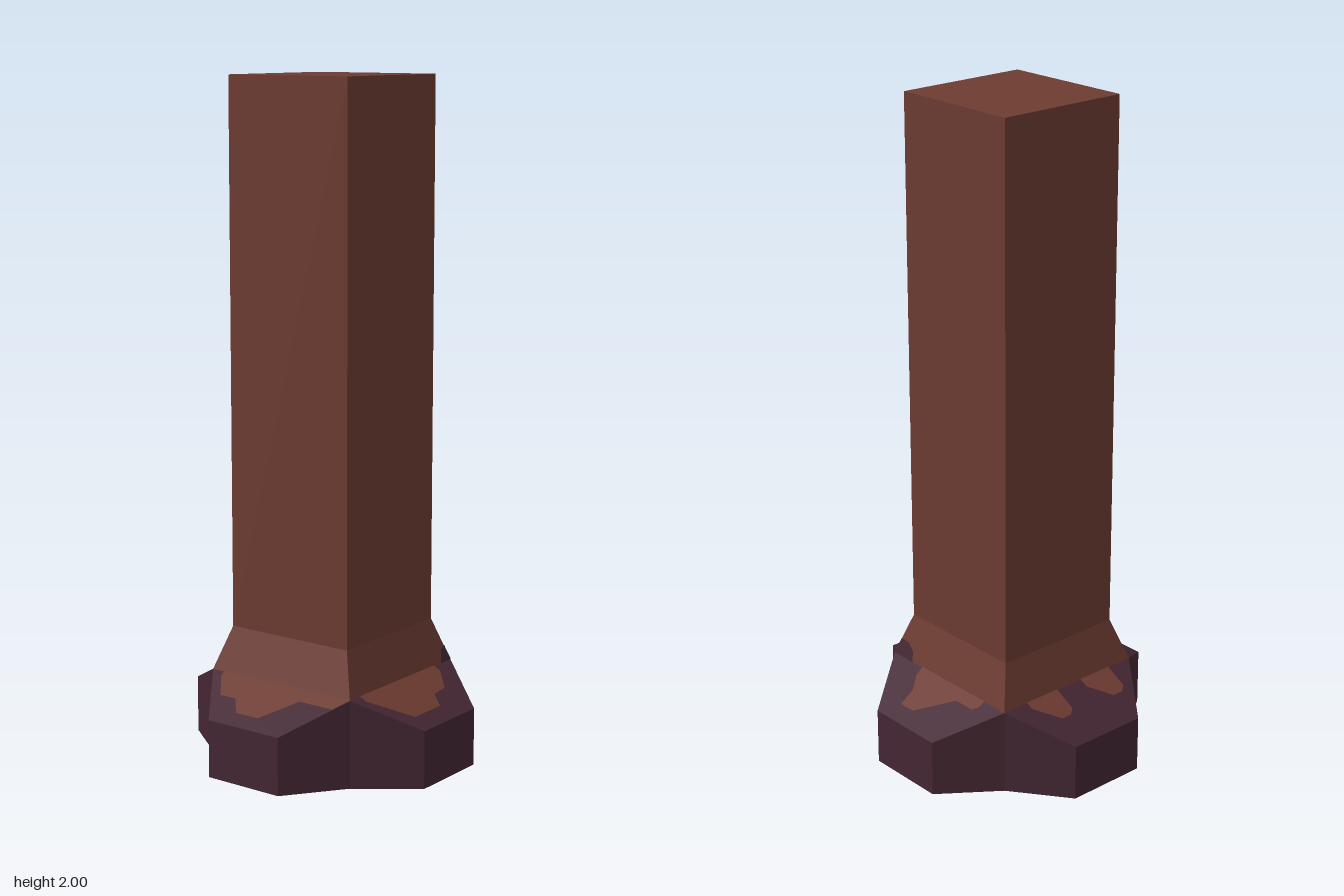
import * as THREE from 'three';

const POST = 0.21, RIM = 0.253, OUT = 0.423, TIP = 0.127;
const Y_LOBE = 0.172, Y_RIM = 0.26, Y_POST = 0.39, TOP = 2;
const LIFT = 0.002;

export function createModel() {
  const brown = new THREE.MeshStandardMaterial({ color: 0x6c3b31, flatShading: true });
  const purple = new THREE.MeshStandardMaterial({ color: 0x432632, flatShading: true });
  brown.name = 'brown wood';
  purple.name = 'dark purple';

  const model = new THREE.Group();
  model.name = 'post';
  const add = (parent, name, geometry, material) => {
    const mesh = new THREE.Mesh(geometry, material);
    mesh.name = name;
    parent.add(mesh);
    return mesh;
  };

  // Square shaft and the flared collar below it
  const shaft = new THREE.BoxGeometry(POST * 2, TOP - Y_POST, POST * 2);
  shaft.translate(0, (TOP + Y_POST) / 2, 0);
  add(model, 'shaft', shaft, brown);
  const collar = new THREE.CylinderGeometry(POST * Math.SQRT2, RIM * Math.SQRT2, Y_POST - Y_RIM, 4, 1, true);
  collar.rotateY(Math.PI / 4).translate(0, (Y_POST + Y_RIM) / 2, 0);
  add(model, 'collar', collar, brown);

  // One lobe of the foot: sloping top, outer wall and two side walls
  const quads = [
    [[-RIM, Y_RIM, RIM], [-TIP, Y_LOBE, OUT], [TIP, Y_LOBE, OUT], [RIM, Y_RIM, RIM]],
    [[-TIP, Y_LOBE, OUT], [-TIP, 0, OUT], [TIP, 0, OUT], [TIP, Y_LOBE, OUT]],
    [[TIP, Y_LOBE, OUT], [TIP, 0, OUT], [RIM, 0, RIM], [RIM, Y_RIM, RIM]],
    [[-RIM, Y_RIM, RIM], [-RIM, 0, RIM], [-TIP, 0, OUT], [-TIP, Y_LOBE, OUT]],
  ];
  const lobe = new THREE.BufferGeometry();
  const corners = quads.flatMap(([a, b, c, d]) => [a, b, c, a, c, d]).flat();
  lobe.setAttribute('position', new THREE.Float32BufferAttribute(corners, 3));
  lobe.computeVertexNormals();

  // Thin patch on a sloping face: outline points are (across, level)
  const patch = (points, place) => {
    const shape = new THREE.Shape(points.map(([u, v]) => new THREE.Vector2(u, v)));
    const geometry = new THREE.ShapeGeometry(shape);
    const pos = geometry.attributes.position;
    for (let i = 0; i < pos.count; i++) pos.setXYZ(i, ...place(pos.getX(i), pos.getY(i)));
    geometry.computeVertexNormals();
    return geometry;
  };
  // On the lobe top, level is the distance from the axis (negated to face up)
  const onLobe = (u, v) =>
    [u, Y_RIM - (-v - RIM) * (Y_RIM - Y_LOBE) / (OUT - RIM) + LIFT, -v];
  // On the collar, level is the height
  const onCollar = (u, y) =>
    [u, y, RIM - (y - Y_RIM) * (RIM - POST) / (Y_POST - Y_RIM) + LIFT];

  const sides = [
    { name: 'front', turn: 0,
      worn: [[[-0.205, 0.253], [-0.205, 0.275], [-0.105, 0.375], [0.02, 0.375], [0.05, 0.335],
        [0.11, 0.33], [0.165, 0.275], [0.165, 0.253]]],
      stain: [[0.2, 0.26], [0.253, 0.26], [0.238, 0.305], [0.215, 0.295]] },
    { name: 'left', turn: Math.PI / 2,
      worn: [[[0.165, 0.253], [0.165, 0.275], [0.15, 0.29], [0.08, 0.29], [-0.02, 0.375],
        [-0.075, 0.375], [-0.08, 0.325], [-0.115, 0.28], [-0.12, 0.253]]],
      stain: [[-0.253, 0.26], [-0.165, 0.26], [-0.175, 0.29], [-0.2, 0.308], [-0.236, 0.31]] },
    { name: 'back', turn: Math.PI,
      worn: [
        [[0.165, 0.253], [0.165, 0.32], [0.145, 0.335], [0.11, 0.335], [0.05, 0.28], [0.05, 0.253]],
        [[-0.045, 0.253], [-0.045, 0.32], [-0.065, 0.335], [-0.1, 0.335], [-0.165, 0.275], [-0.165, 0.253]],
      ] },
    { name: 'right', turn: -Math.PI / 2,
      worn: [[[-0.21, 0.253], [-0.205, 0.275], [-0.155, 0.335], [-0.1, 0.335], [-0.06, 0.38],
        [0.02, 0.38], [0.105, 0.295], [0.222, 0.295], [0.253, 0.253]]] },
  ];
  const outline = [];
  for (const { name, turn, worn, stain } of sides) {
    const side = new THREE.Group();
    side.name = name + 'Side';
    side.rotation.y = turn;
    add(side, 'footLobe', lobe, purple);
    for (const points of worn) {
      add(side, 'wornPatch', patch(points.map(([u, d]) => [u, -d]), onLobe), brown);
    }
    if (stain) add(side, 'collarStain', patch(stain, onCollar), purple);
    model.add(side);

    // Collect the foot outline for the underside
    for (const [u, d] of [[-TIP, OUT], [TIP, OUT], [RIM, RIM]]) {
      const p = new THREE.Vector3(u, 0, d).applyAxisAngle(new THREE.Vector3(0, 1, 0), turn);
      outline.push(new THREE.Vector2(p.x, p.z));
    }
  }

  // Underside of the foot, facing down
  const underside = new THREE.ShapeGeometry(new THREE.Shape(outline));
  underside.rotateX(Math.PI / 2);
  add(model, 'underside', underside, brown);

  return model;
}
